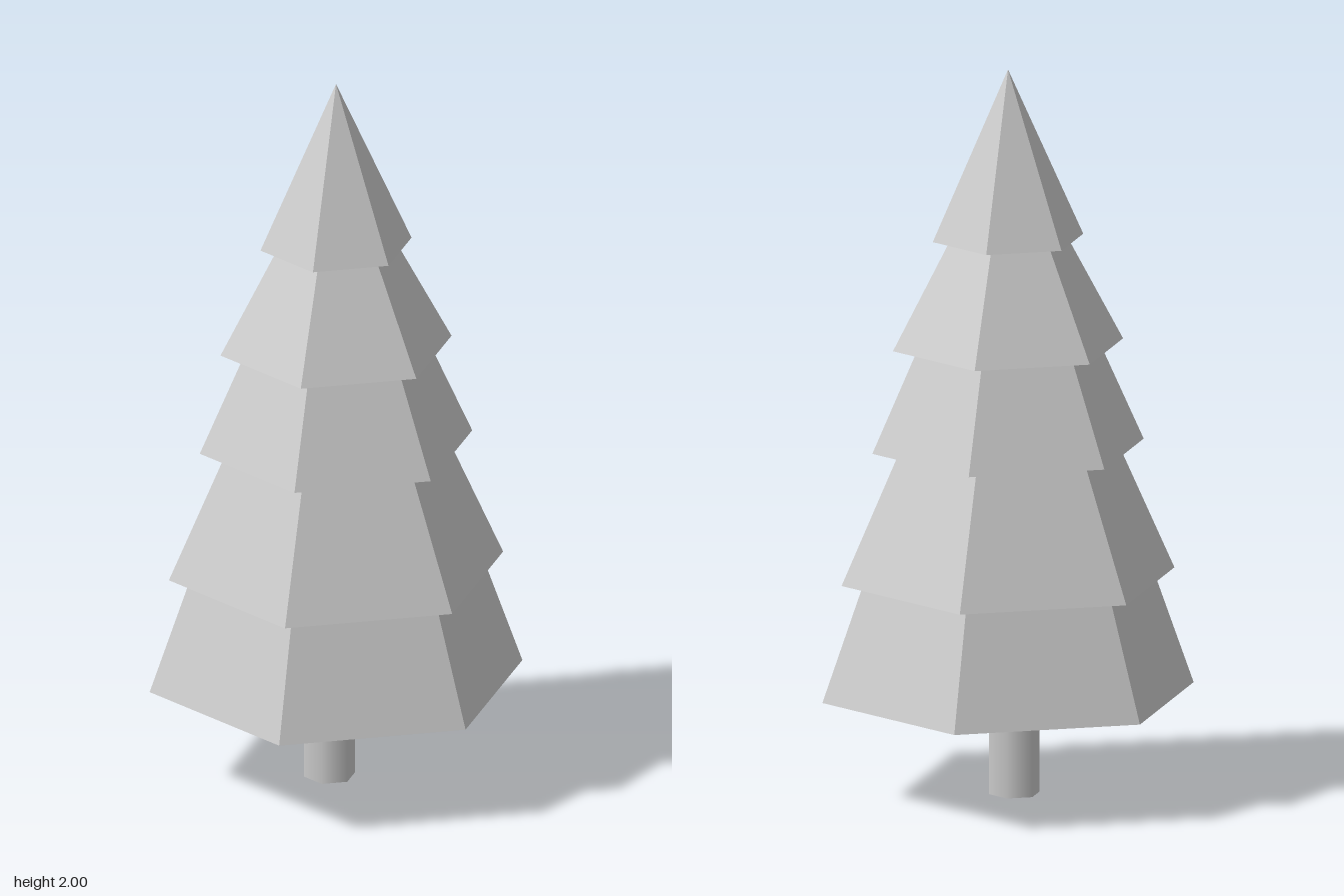
import * as THREE from 'three';

const SIDES = 6;
const TURN = Math.PI / 6; // puts hexagon corners on the x axis

// rim height, rim radius, top height, top radius (bottom to top)
const TIERS = [
  [0.28, 0.513, 0.62, 0.393],
  [0.60, 0.46, 1.01, 0.278],
  [0.96, 0.375, 1.28, 0.232],
  [1.24, 0.318, 1.57, 0.142],
  [1.535, 0.208, 2.0, 0],
];

// Hexagonal skirt with a recessed underside
function makeTier([y, r, topY, topR], material) {
  const ceilingY = y + r * 0.15;
  const profile = [
    [0, ceilingY],
    [r * 0.885, ceilingY],
    [r, y],
    [topR, topY],
  ];
  if (topR > 0) profile.push([0, topY]);
  const points = profile.map(([px, py]) => new THREE.Vector2(px, py));
  return new THREE.Mesh(new THREE.LatheGeometry(points, SIDES, TURN), material);
}

export function createModel() {
  const tree = new THREE.Group();
  tree.name = 'pineTree';

  // Foliage
  const foliageMaterial = new THREE.MeshStandardMaterial({ color: 0xcccccc, flatShading: true });
  const foliage = new THREE.Group();
  foliage.name = 'foliage';
  TIERS.forEach((tier, i) => {
    const mesh = makeTier(tier, foliageMaterial);
    mesh.name = `foliageTier${i + 1}`;
    foliage.add(mesh);
  });
  tree.add(foliage);

  // Trunk, slightly off centre, smooth sides
  const height = 0.37;
  const trunk = new THREE.Mesh(
    new THREE.CylinderGeometry(0.07, 0.07, height, SIDES, 1, false, TURN),
    new THREE.MeshStandardMaterial({ color: 0xcccccc }),
  );
  trunk.name = 'trunk';
  trunk.position.set(-0.02, height / 2, 0.01);
  tree.add(trunk);

  return tree;
}
